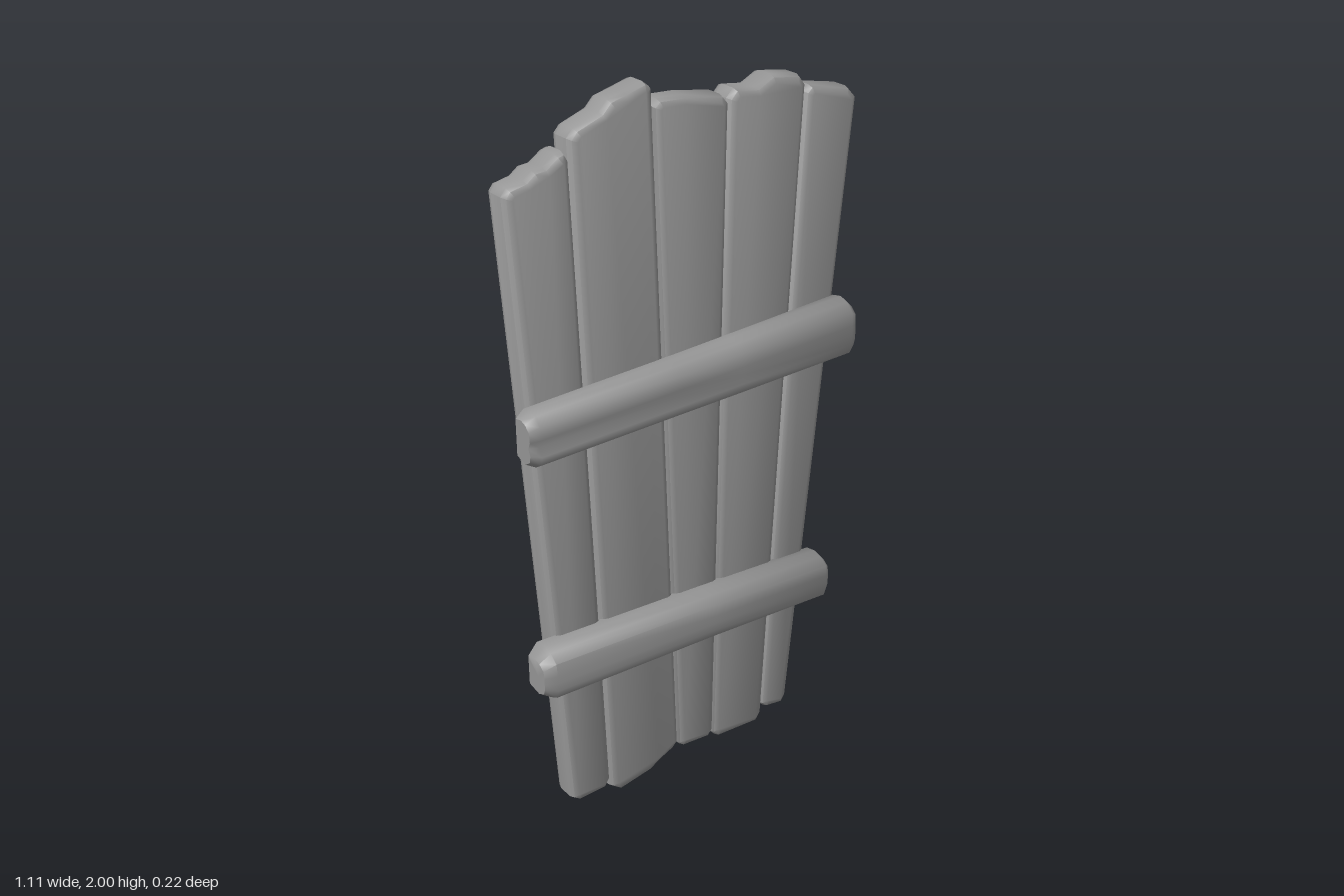
import * as THREE from 'three';
import { toCreasedNormals } from 'three/addons/utils/BufferGeometryUtils.js';

const material = new THREE.MeshStandardMaterial({ color: 0x969696 });

// Front outlines of the planks (x, y), clockwise from the upper left
const planks = [
  [[-.542, 1.805], [-.527, 1.823], [-.48, 1.832], [-.455, 1.85], [-.425, 1.852], [-.39, 1.875], [-.37, 1.88], [-.358, 1.86],
    [-.313, .06], [-.33, .035], [-.42, .035], [-.441, .05]],
  [[-.354, 1.905], [-.335, 1.925], [-.26, 1.95], [-.235, 1.975], [-.19, 1.985], [-.13, 2], [-.111, 1.985],
    [-.072, .072], [-.09, .055], [-.14, .035], [-.17, .018], [-.28, .002], [-.309, .025]],
  [[-.108, 1.935], [-.09, 1.95], [-.01, 1.945], [.107, 1.925], [.125, 1.905],
    [.057, .055], [.04, .035], [-.055, .045], [-.07, .06]],
  [[.128, 1.91], [.15, 1.932], [.22, 1.922], [.27, 1.945], [.36, 1.93], [.379, 1.905],
    [.241, .03], [.222, .006], [.075, .018], [.055, .04]],
  [[.382, 1.88], [.4, 1.895], [.53, 1.868], [.557, 1.84],
    [.338, .05], [.322, .028], [.26, .038], [.242, .056]],
];

function plank(outline) {
  const shape = new THREE.Shape(outline.map(([x, y]) => new THREE.Vector2(x, y)));
  const bevel = .023, depth = .09 - 2 * bevel;
  const g = new THREE.ExtrudeGeometry(shape, {
    depth, bevelSize: .019, bevelOffset: -.019, bevelThickness: bevel, bevelSegments: 2,
  });
  // The whole panel leans back and turns slightly
  const p = g.attributes.position;
  for (let i = 0; i < p.count; i++) {
    p.setZ(i, p.getZ(i) - depth / 2 - .019 - .0195 * p.getY(i) - .022 * p.getX(i));
  }
  return toCreasedNormals(g, .8);
}

// Beam lofted along x. Stations: [x, bottom, top, back, front, groove depth]
function beam(stations) {
  // Profile as fractions of height and depth: up the front, down the back
  const ring = ([x, y0, y1, z0, z1, groove]) => [
    [.04, .6], [.14, .92], [.3, 1], [.45, 1 - groove], [.6, 1], [.82, .96],
    [.95, .7], [1, .4], [.96, .02], [.88, 0], [.12, 0],
  ].map(([v, w]) => [x, y0 + (y1 - y0) * v, z0 + (z1 - z0) * w]);
  const rings = stations.map(ring);
  const n = rings[0].length, pos = rings.flat(2), idx = [];
  for (let s = 0; s < rings.length - 1; s++) {
    for (let i = 0; i < n; i++) {
      const a = s * n + i, b = s * n + (i + 1) % n;
      idx.push(a, a + n, b, b, a + n, b + n);
    }
  }
  // End caps fan out from their centres
  for (const end of [0, rings.length - 1]) {
    const c = pos.length / 3, r = rings[end];
    pos.push(...[0, 1, 2].map(k => r.reduce((t, q) => t + q[k], 0) / n));
    for (let i = 0; i < n; i++) {
      const a = end * n + i, b = end * n + (i + 1) % n;
      if (end) idx.push(c, b, a); else idx.push(c, a, b);
    }
  }
  const g = new THREE.BufferGeometry();
  g.setAttribute('position', new THREE.Float32BufferAttribute(pos, 3));
  g.setIndex(idx);
  return toCreasedNormals(g, .95);
}

export function createModel() {
  const model = new THREE.Group();
  model.name = 'woodenPanel';
  const add = (name, geometry) => {
    const mesh = new THREE.Mesh(geometry, material);
    mesh.name = name;
    model.add(mesh);
  };

  planks.forEach((outline, i) => add('plank' + (i + 1), plank(outline)));

  add('upperCrossbar', beam([
    [-.557, 1.145, 1.265, .02, .08, .14],
    [-.53, 1.128, 1.282, .012, .09, .14],
    [-.1, 1.13, 1.29, 0, .083, .1],
    [.1, 1.131, 1.296, -.004, .081, .04],
    [.485, 1.132, 1.309, -.012, .073, 0],
    [.507, 1.152, 1.287, -.004, .062, 0],
  ]));
  add('lowerCrossbar', beam([
    [-.557, .474, .58, .022, .095, 0],
    [-.525, .45, .605, .012, .109, 0],
    [0, .42, .568, .002, .097, 0],
    [.415, .388, .535, -.004, .086, 0],
    [.434, .405, .512, .004, .072, 0],
  ]));
  return model;
}
